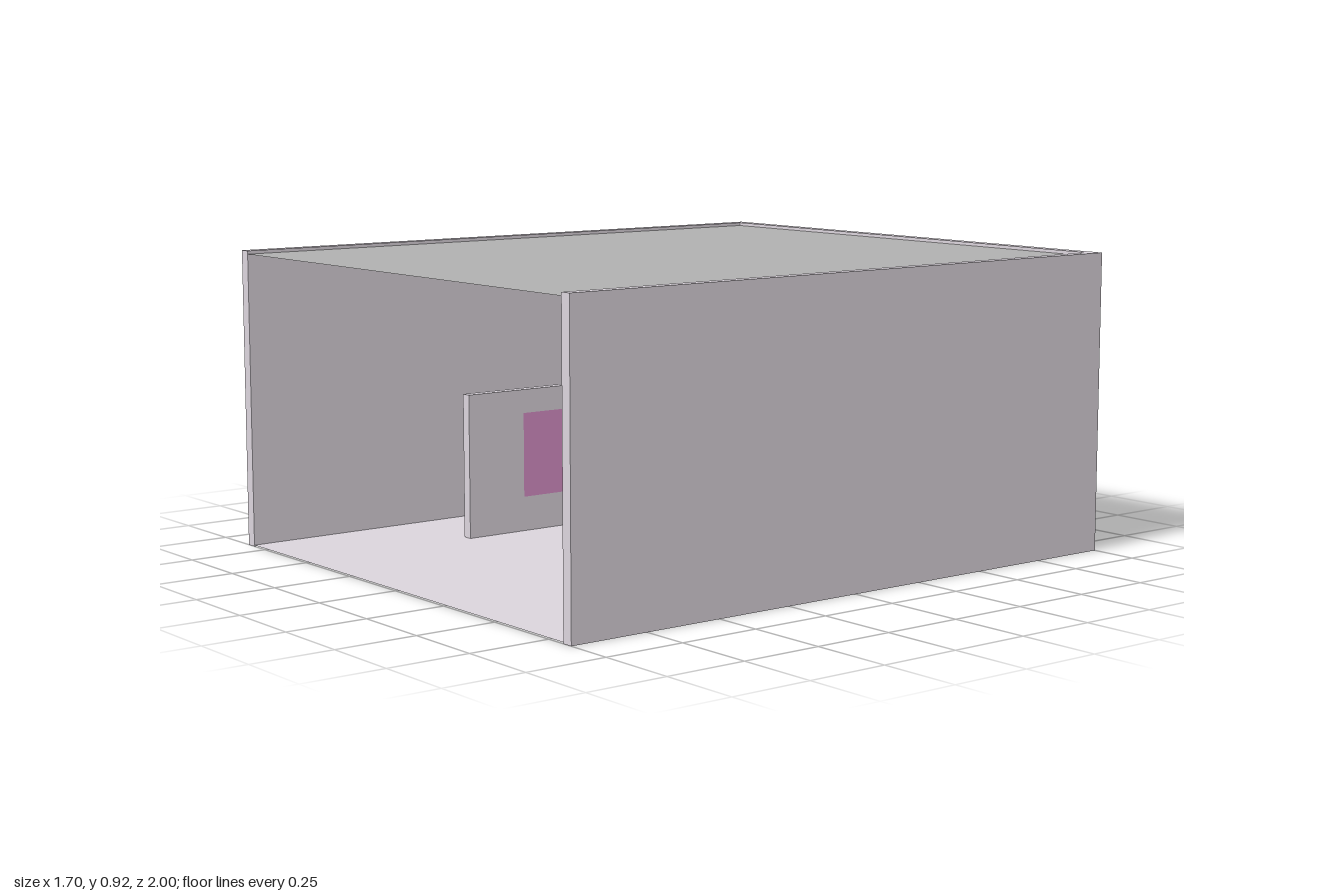
import * as THREE from 'three';

const WALL = 0xdbd4dc, PINK = 0xd890c8, GOLD = 0xa59560, RED = 0xc8383d;

function material(color, side = THREE.FrontSide) {
  return new THREE.MeshStandardMaterial({ color, side, flatShading: true });
}

// box given by its min and max corners
function box(name, [x0, y0, z0], [x1, y1, z1]) {
  const mesh = new THREE.Mesh(new THREE.BoxGeometry(x1 - x0, y1 - y0, z1 - z0), material(WALL));
  mesh.position.set((x0 + x1) / 2, (y0 + y1) / 2, (z0 + z1) / 2);
  mesh.name = name;
  return mesh;
}

// thin flat sheet
function sheet(name, w, h, color, x, y, z) {
  const mesh = new THREE.Mesh(new THREE.PlaneGeometry(w, h), material(color, THREE.DoubleSide));
  mesh.position.set(x, y, z);
  mesh.name = name;
  return mesh;
}

export function createModel() {
  const model = new THREE.Group();
  model.name = 'galleryRoom';
  const X = 0.85, INNER = 0.815, H = 0.92, BACK = -0.965;

  // shell, open at the front
  model.add(
    box('rightWall', [-X, 0, -1], [-INNER, H, 1]),
    box('leftWall', [INNER, 0, -1], [X, H, 1]),
    box('backWall', [-INNER, 0, -1], [INNER, H, BACK]),
  );

  // floor and slightly sunken ceiling
  const depth = 1 - BACK, zMid = (1 + BACK) / 2;
  const floor = sheet('floor', 2 * INNER, depth, WALL, 0, 0.004, zMid);
  const ceiling = sheet('ceiling', 2 * INNER, depth, 0xb0b0b0, 0, 0.91, zMid);
  floor.rotation.x = ceiling.rotation.x = -Math.PI / 2;
  model.add(floor, ceiling);

  // back row of display panels with a picture on the front of each
  [[-0.502, GOLD], [-0.07, RED], [0.366, PINK]].forEach(([x, color]) => {
    model.add(box('displayPanel', [x - 0.116, 0, -0.605], [x + 0.116, 0.485, -0.57]));
    model.add(sheet('picture', 0.172, 0.27, color, x, 0.268, -0.566));
  });

  // two long dividers with a picture on the side facing the aisle
  [[-0.502, 1], [0.366, -1]].forEach(([x, inward]) => {
    model.add(box('dividerPanel', [x - 0.016, 0, -0.215], [x + 0.016, 0.46, 0.415]));
    const picture = sheet('dividerPicture', 0.255, 0.27, PINK, x + inward * 0.02, 0.25, 0.082);
    picture.rotation.y = inward * Math.PI / 2;
    model.add(picture);
  });

  return model;
}
